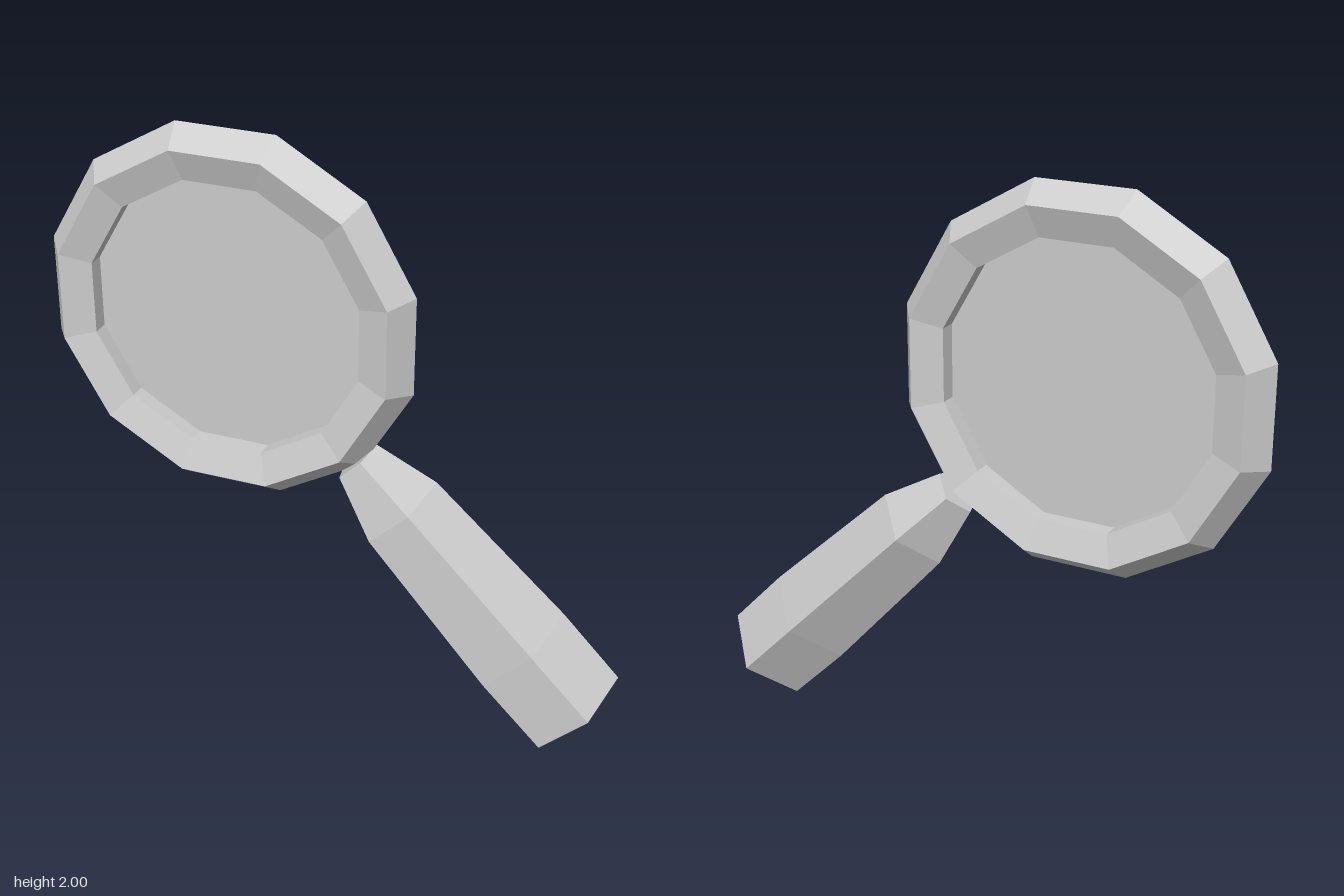
import * as THREE from 'three';

const material = new THREE.MeshStandardMaterial({ color: 0xcccccc, flatShading: true });
const lensMaterial = new THREE.MeshStandardMaterial({
  color: 0xcccccc, flatShading: true, side: THREE.DoubleSide,
});

const MID_Z = 0.02; // shared centre plane of rim, lens and handle
const SIDES = 12;

function addPart(parent, name, geometry, mat = material) {
  const mesh = new THREE.Mesh(geometry, mat);
  mesh.name = name;
  parent.add(mesh);
  return mesh;
}

export function createModel() {
  const model = new THREE.Group();
  model.name = 'magnifyingGlass';

  // Twelve-sided head: rim with a pentagonal section, thin lens inside it
  const head = new THREE.Group();
  head.name = 'head';
  head.position.set(-0.362, 1.375, MID_Z);
  head.rotation.z = THREE.MathUtils.degToRad(14.6);
  addPart(head, 'rim', new THREE.TorusGeometry(0.553, 0.095, 5, SIDES));
  addPart(head, 'lens', new THREE.CircleGeometry(0.48, SIDES), lensMaterial);
  model.add(head);

  // Five-sided handle, flaring from the rim to a flat butt (radius, distance)
  const profile = [
    [0, 0], [0.085, 0], [0.154, 0.22], [0.187, 0.83], [0.185, 1.116], [0, 1.116],
  ].map(([r, d]) => new THREE.Vector2(r, d));
  const handle = addPart(model, 'handle', new THREE.LatheGeometry(profile, 5, Math.PI));
  handle.position.set(0.075, 0.925, MID_Z);
  handle.rotation.z = -2.367;

  return model;
}
